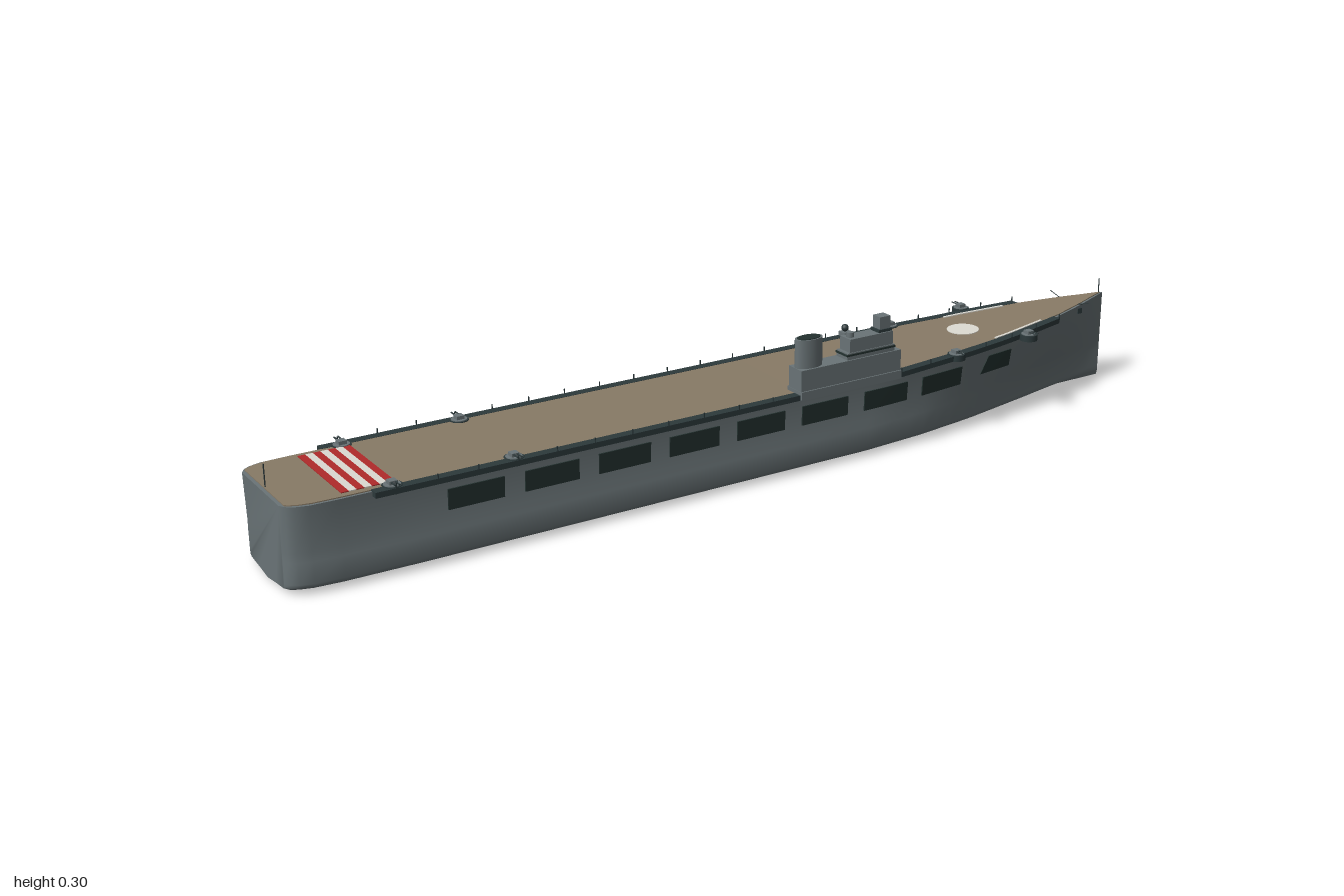
import * as THREE from 'three';
import { toCreasedNormals } from 'three/addons/utils/BufferGeometryUtils.js';

const mat = (name, color) => new THREE.MeshStandardMaterial({ name, color });

// Piecewise-linear lookup in a list of [x, value] pairs
function lookup(table, x) {
  for (let i = 1; i < table.length; i++) {
    const [x0, a] = table[i - 1], [x1, b] = table[i];
    if (x <= x1) return a + (b - a) * Math.max(0, (x - x0) / (x1 - x0));
  }
  return table[table.length - 1][1];
}

// Half-breadth at deck and at bilge, and the sheer of the deck
const DECK = [[-1, 0.09], [-0.993, 0.102], [-0.98, 0.112], [-0.955, 0.119], [-0.9, 0.121],
  [0.32, 0.121], [0.5, 0.109], [0.65, 0.092], [0.8, 0.066], [0.9, 0.037], [1, 0.002]];
const BILGE = [[-1, 0.085], [-0.993, 0.098], [-0.98, 0.107], [-0.955, 0.115], [-0.9, 0.12], [-0.75, 0.123],
  [0.25, 0.123], [0.4, 0.112], [0.55, 0.09], [0.7, 0.058], [0.85, 0.024], [0.94, 0.008], [1, 0.002]];
const SHEER = [[-1, 0.171], [0.3, 0.171], [0.6, 0.179], [1, 0.198]];
const deckHalf = x => lookup(DECK, x);
const deckY = x => lookup(SHEER, x);
const KNUCKLE = 0.08;
const knuckleHalf = x => 0.96 * (lookup(BILGE, x) * 0.6 + deckHalf(x) * 0.4);
const sideZ = (x, y) => {
  const k = (y - KNUCKLE) / (deckY(x) - KNUCKLE);
  return knuckleHalf(x) * (1 - k) + deckHalf(x) * k;
};

// Skin closed sections running along +x; each loop goes outboard-down, inboard, up
function loft(sections, side = 1, crease = 0.5) {
  const n = sections[0].length, pos = [], idx = [];
  sections.forEach(s => {
    const pts = s.map(([x, y, z]) => [x, y, z * side]);
    if (side < 0) pts.reverse();
    pts.forEach(p => pos.push(...p));
  });
  for (let i = 0; i < sections.length - 1; i++) {
    for (let j = 0; j < n; j++) {
      const a = i * n + j, b = i * n + (j + 1) % n;
      idx.push(a, b, a + n, b, b + n, a + n);
    }
  }
  const last = (sections.length - 1) * n;
  for (let j = 1; j < n - 1; j++) idx.push(0, j + 1, j, last, last + j, last + j + 1);
  const g = new THREE.BufferGeometry();
  g.setAttribute('position', new THREE.Float32BufferAttribute(pos, 3));
  g.setIndex(idx);
  return toCreasedNormals(g, crease);
}

const range = (a, b, n) => Array.from({ length: n + 1 }, (_, i) => a + (b - a) * i / n);

export function createModel() {
  const model = new THREE.Group();
  model.name = 'aircraftCarrier';
  const hullGrey = mat('hullGrey', 0x6a7477);
  const galleryDark = mat('galleryDark', 0x2c393b);
  const openingDark = mat('openingDark', 0x243230);
  const deckBrown = mat('deckBrown', 0x887a66);
  const red = mat('stripeRed', 0xb02a2a);
  const white = mat('paintWhite', 0xdcdad2);

  const add = (name, geo, material, x = 0, y = 0, z = 0, parent = model) => {
    const m = new THREE.Mesh(geo, material);
    m.name = name;
    m.position.set(x, y, z);
    parent.add(m);
    return m;
  };
  const box = (name, w, h, d, material, x, y, z, parent) =>
    add(name, new THREE.BoxGeometry(w, h, d), material, x, y, z, parent);
  const cyl = (name, r, h, material, x, y, z, parent, sides = 16) =>
    add(name, new THREE.CylinderGeometry(r, r, h, sides), material, x, y, z, parent);

  // Hull with side blister and rounded bilge
  const stations = [-1, -0.993, -0.98, -0.955, -0.9, ...range(-0.75, 0.25, 4), ...range(0.32, 1, 17)];
  const hull = stations.map(x => {
    const t = deckHalf(x), b = lookup(BILGE, x), k = knuckleHalf(x);
    const half = [[t, deckY(x)], [k, KNUCKLE], [b, 0.063], [b, 0.021], [b * 0.985, 0.014],
      [b * 0.93, 0.01], [b * 0.5, 0.006]];
    return [...half.map(([z, y]) => [x, y, z]), [x, 0, 0],
      ...half.slice().reverse().map(([z, y]) => [x, y, -z])];
  });
  add('hull', loft(hull, 1, 1.0), hullGrey);

  // Flight deck planking, inset from the hull edge
  const planks = stations.map(s => {
    const x = s * 0.993, w = Math.max(0.001, deckHalf(x) - 0.005), y = deckY(x);
    return [[x, y + 0.002, w], [x, y - 0.002, w], [x, y - 0.002, -w], [x, y + 0.002, -w]];
  });
  add('flightDeck', loft(planks), deckBrown);

  // Stern landing stripes
  for (let i = 0; i < 7; i++) {
    box('sternStripe', 0.0145, 0.002, 0.205, i % 2 ? white : red, -0.883 + i * 0.0145, 0.1737, 0);
  }

  // Round deck marking, lying along the sheer
  const disc = cyl('deckMarking', 0.035, 0.002, white, 0.592, deckY(0.592) + 0.0025, 0, model, 28);
  disc.rotation.z = 0.033;

  for (const s of [1, -1]) {
    // Edge gallery following the deck outline
    const gallery = [-0.84, -0.4, 0, ...range(0.32, 0.8, 10)].map(x => {
      const o = deckHalf(x) + 0.014, n = deckHalf(x) - 0.006, y = deckY(x) + 0.0025;
      return [[x, y, o], [x, y - 0.011, o], [x, y - 0.011, n], [x, y, n]];
    });
    add('edgeGallery', loft(gallery, s), galleryDark);

    // Pale strip inside the forward gallery
    const strip = range(0.61, 0.76, 4).map(x => {
      const z = deckHalf(x) - 0.009, y = deckY(x) + 0.004;
      return [[x, y, z + 0.003], [x, y - 0.004, z + 0.003], [x, y - 0.004, z - 0.003], [x, y, z - 0.003]];
    });
    add('deckEdgeStrip', loft(strip, s), white);

    // Hangar openings: eight rectangles and a slanted one forward
    for (let i = 0; i < 9; i++) {
      const x0 = i < 8 ? -0.697 + i * 0.1555 : 0.565, x1 = i < 8 ? x0 + 0.113 : 0.657;
      const lean = i < 8 ? 0 : 0.02, y0 = i < 8 ? 0.102 : 0.11, y1 = i < 8 ? 0.143 : 0.149;
      const plate = [0, 0.5, 1].map(f => {
        const xb = x0 + (x1 - x0) * f, xt = xb + lean * (1 - f);
        const zt = sideZ(xt, y1), zb = sideZ(xb, y0);
        return [[xt, y1, zt + 0.003], [xb, y0, zb + 0.003], [xb, y0, zb - 0.003], [xt, y1, zt - 0.003]];
      });
      add('hangarOpening', loft(plate, s), openingDark);
    }

    // Gallery rail posts
    for (let x = -0.8; x < 0.8; x += 0.08) {
      box('railPost', 0.002, 0.014, 0.002, galleryDark, x, deckY(x) + 0.005, s * (deckHalf(x) + 0.013));
    }

    // Anti-aircraft gun tubs
    for (const x of [-0.8, -0.56, 0.48, 0.68]) {
      const gun = new THREE.Group();
      gun.name = 'gunTub';
      gun.position.set(x, deckY(x), s * 0.115);
      model.add(gun);
      cyl('tub', 0.019, 0.013, galleryDark, 0, -0.003, 0, gun);
      cyl('platform', 0.016, 0.002, hullGrey, 0, 0.004, 0, gun);
      box('gunHouse', 0.016, 0.008, 0.016, hullGrey, 0, 0.008, 0, gun);
      for (const dx of [-0.004, 0.004]) {
        const barrel = cyl('barrel', 0.0015, 0.022, galleryDark, dx, 0.01, s * 0.014, gun, 6);
        barrel.rotation.x = Math.PI / 2;
      }
    }

    // Range finders on thin posts
    cyl('directorPost', 0.001, 0.04, galleryDark, 0.3, 0.191, s * 0.034, model, 6);
    box('directorBase', 0.022, 0.009, 0.022, hullGrey, 0.3, 0.215, s * 0.034);
    add('directorHead', new THREE.SphereGeometry(0.008, 12, 8), galleryDark, 0.3, 0.227, s * 0.037);

    // Bow whip aerials and anchors
    const aerial = cyl('bowAerial', 0.001, 0.032, galleryDark, 0.9, 0.199, s * 0.047, model, 6);
    aerial.rotation.x = s * 1.3;
    box('anchor', 0.012, 0.012, 0.004, galleryDark, 0.9, 0.18, s * (sideZ(0.9, 0.18) + 0.001));
  }

  // Island superstructure
  const island = new THREE.Group();
  island.name = 'island';
  island.position.z = 0.115;
  model.add(island);
  box('islandBase', 0.248, 0.056, 0.044, hullGrey, 0.19, 0.197, 0, island);
  box('islandFoot', 0.25, 0.018, 0.05, hullGrey, 0.19, 0.172, 0, island);
  box('bridge', 0.118, 0.014, 0.038, hullGrey, 0.24, 0.232, 0, island);
  box('bridgeUpper', 0.108, 0.03, 0.034, hullGrey, 0.242, 0.252, 0, island);
  box('bridgeWindows', 0.122, 0.004, 0.04, openingDark, 0.24, 0.2345, 0, island);
  box('frontWindows', 0.004, 0.009, 0.036, openingDark, 0.3135, 0.216, 0, island);
  box('directorTower', 0.026, 0.034, 0.024, hullGrey, 0.279, 0.282, 0, island);
  box('directorCollar', 0.034, 0.006, 0.028, galleryDark, 0.279, 0.27, 0, island);
  cyl('lookout', 0.008, 0.014, hullGrey, 0.2, 0.27, 0, island);
  const funnel = cyl('funnel', 0.018, 0.06, hullGrey, 0.098, 0.254, 0, island, 24);
  funnel.scale.x = 1.75;
  const funnelTop = cyl('funnelOpening', 0.015, 0.002, openingDark, 0.098, 0.2845, 0, island, 24);
  funnelTop.scale.x = 1.75;

  // Flagstaffs at bow and stern
  cyl('bowStaff', 0.0012, 0.036, galleryDark, 0.99, 0.214, 0, model, 6);
  cyl('sternStaff', 0.0012, 0.045, galleryDark, -0.99, 0.194, 0, model, 6);

  return model;
}
